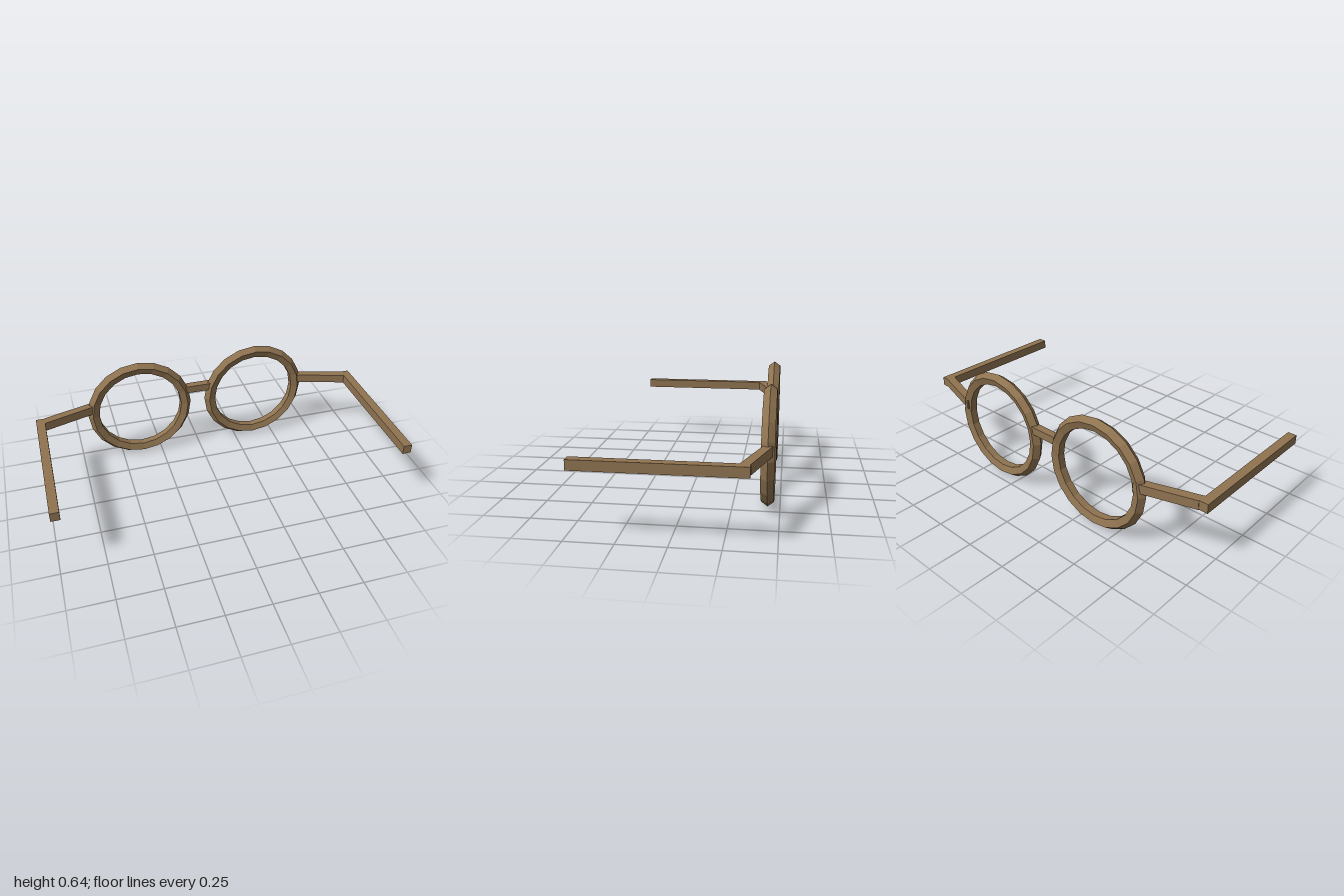
import * as THREE from 'three';

export function createModel() {
  const model = new THREE.Group();
  model.name = 'roundGlasses';
  const wood = new THREE.MeshStandardMaterial({ color: 0x8f7350, flatShading: true });
  wood.name = 'woodBrown';

  const add = (name, geometry, x, y, z) => {
    const mesh = new THREE.Mesh(geometry, wood);
    mesh.name = name;
    mesh.position.set(x, y, z);
    model.add(mesh);
    return mesh;
  };

  for (const [side, s] of [['left', 1], ['right', -1]]) {
    // Faceted rim with a five-sided section, pointed outward and flat inside
    add(side + 'Rim', new THREE.TorusGeometry(0.2865, 0.036, 5, 20), s * 0.368, 0.3225, -0.435);

    // Straight temple running along the head
    add(side + 'Temple', new THREE.BoxGeometry(0.05, 0.052, 0.84), s * 0.975, 0.374, 0.05);

    // Slanted end piece joining rim and temple, drawn in plan and extruded upward
    const plan = new THREE.Shape([
      [0.95, -0.373], [0.63, -0.469], [0.63, -0.421], [0.95, -0.32],
    ].map(([x, z]) => new THREE.Vector2(s * x, -z)));
    const endPiece = new THREE.ExtrudeGeometry(plan, { depth: 0.052, bevelEnabled: false });
    endPiece.rotateX(-Math.PI / 2);
    add(side + 'EndPiece', endPiece, 0, 0.348, 0);
  }

  // Nose bridge between the rims
  add('bridge', new THREE.BoxGeometry(0.17, 0.045, 0.045), 0, 0.411, -0.44);

  return model;
}
